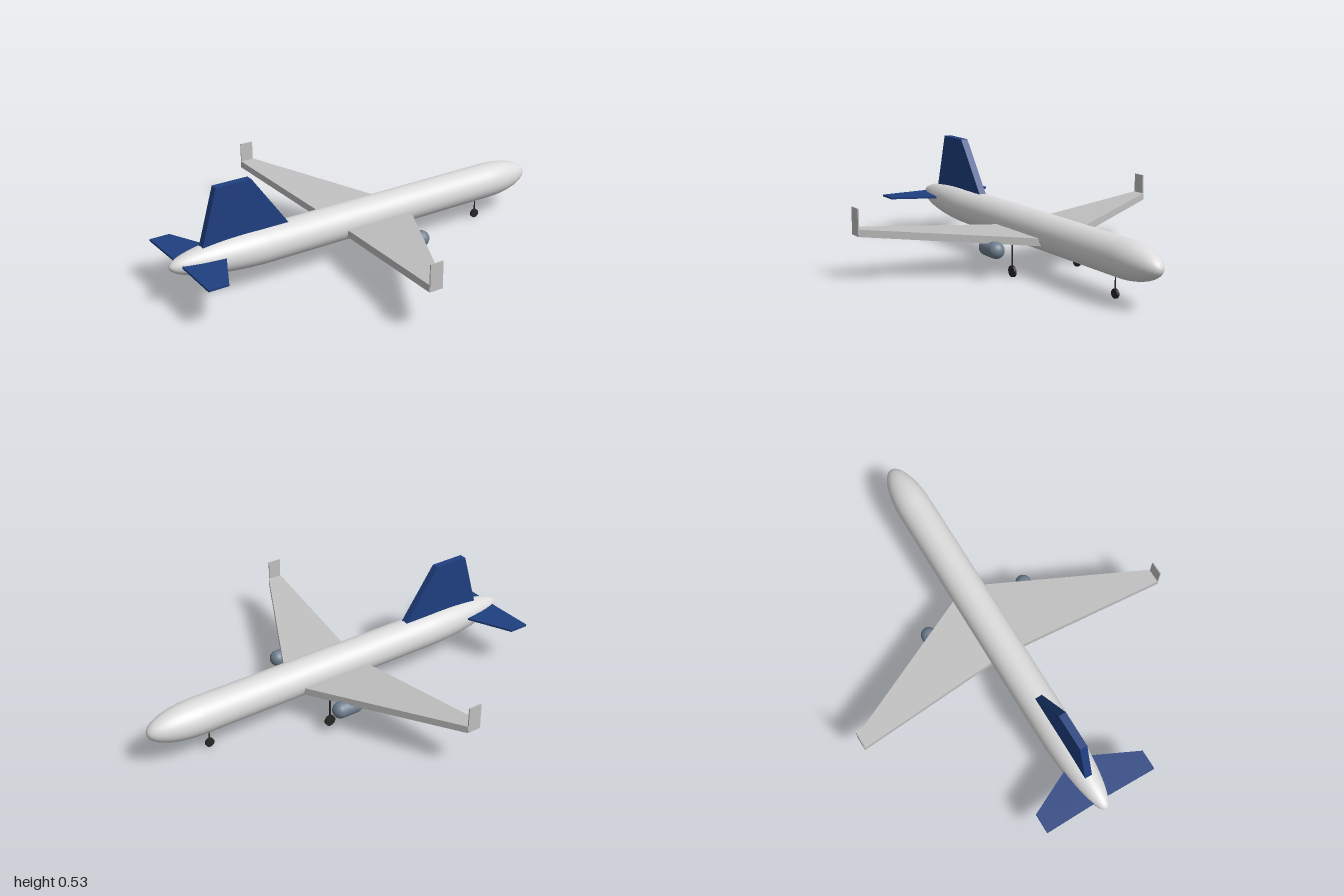
import * as THREE from 'three';

export function createModel() {
  const paint = (name, hex) => {
    const m = new THREE.MeshStandardMaterial({ color: hex });
    m.name = name;
    return m;
  };
  const hull = paint('hull light grey', 0xdcdcdc);
  const silver = paint('wing silver', 0xc0c0c0);
  const blue = paint('tail blue', 0x1f3f80);
  const slate = paint('engine slate', 0x708090);
  const dark = paint('gear black', 0x262626);

  const model = new THREE.Group();
  model.name = 'airliner';
  const add = (name, geometry, material, x = 0, y = 0, z = 0) => {
    const mesh = new THREE.Mesh(geometry, material);
    mesh.name = name;
    mesh.position.set(x, y, z);
    model.add(mesh);
    return mesh;
  };

  // Tapered slab between a root and a tip section: { z, back, front, bottom, top }
  const slab = (root, tip, side) => {
    const g = new THREE.BoxGeometry(1, 1, 1).toNonIndexed();
    const p = g.attributes.position;
    for (let i = 0; i < p.count; i++) {
      const s = p.getZ(i) * side > 0 ? tip : root;
      p.setXYZ(i, p.getX(i) > 0 ? s.front : s.back, p.getY(i) > 0 ? s.top : s.bottom, side * s.z);
    }
    g.computeVertexNormals();
    return g;
  };

  // Fuselage: elliptical tail cone, straight tube, elliptical nose
  const R = 0.087, tailStart = -0.55, noseStart = 0.75;
  const profile = [];
  for (let i = 0; i <= 16; i++) {
    const a = (i / 16) * Math.PI / 2;
    profile.push(new THREE.Vector2(R * Math.sin(a), tailStart - 0.45 * Math.cos(a)));
  }
  for (let i = 0; i <= 16; i++) {
    const a = (i / 16) * Math.PI / 2;
    profile.push(new THREE.Vector2(R * Math.cos(a), noseStart + 0.25 * Math.sin(a)));
  }
  const body = new THREE.LatheGeometry(profile, 40);
  body.rotateZ(-Math.PI / 2);
  // The tail cone sweeps up slightly
  const bp = body.attributes.position;
  for (let i = 0; i < bp.count; i++) {
    const t = Math.max(0, (tailStart - bp.getX(i)) / 0.45);
    bp.setY(i, bp.getY(i) + 0.014 * t);
  }
  add('fuselage', body, hull, 0, 0.19, 0);

  // Vertical fin
  const finShape = new THREE.Shape([
    [-0.85, 0.24], [-0.385, 0.24], [-0.59, 0.53], [-0.765, 0.53],
  ].map(([x, y]) => new THREE.Vector2(x, y)));
  const fin = new THREE.ExtrudeGeometry(finShape, { depth: 0.036, bevelEnabled: false });
  fin.translate(0, 0, -0.018);
  add('tailFin', fin, blue);

  // Landing gear leg with a wheel
  const gear = (name, x, z, radius, top, legRadius) => {
    const leg = new THREE.CylinderGeometry(legRadius, legRadius, top - radius, 8);
    add(name + 'Strut', leg, dark, x, (top + radius) / 2, z);
    const wheel = new THREE.CylinderGeometry(radius, radius, 0.012, 16);
    wheel.rotateX(Math.PI / 2);
    add(name + 'Wheel', wheel, dark, x, radius, z);
  };
  gear('nose', 0.697, 0, 0.022, 0.13, 0.003);

  // Mirrored parts
  for (const side of [1, -1]) {
    const prefix = side > 0 ? 'left' : 'right';
    add(prefix + 'Wing', slab(
      { z: 0.06, back: -0.128, front: 0.244, bottom: 0.145, top: 0.181 },
      { z: 0.805, back: -0.205, front: -0.135, bottom: 0.208, top: 0.242 }, side), silver);
    add(prefix + 'Winglet', new THREE.BoxGeometry(0.066, 0.128, 0.006), silver,
      -0.17, 0.272, side * 0.803);
    add(prefix + 'Tailplane', slab(
      { z: 0.03, back: -0.953, front: -0.737, bottom: 0.205, top: 0.215 },
      { z: 0.287, back: -0.957, front: -0.86, bottom: 0.205, top: 0.215 }, side), blue);
    const engine = new THREE.CapsuleGeometry(0.039, 0.078, 10, 24);
    engine.rotateZ(Math.PI / 2);
    add(prefix + 'Engine', engine, slate, 0.118, 0.136, side * 0.266);
    gear(prefix + 'Main', 0.157, side * 0.18, 0.027, 0.165, 0.004);
  }
  return model;
}
